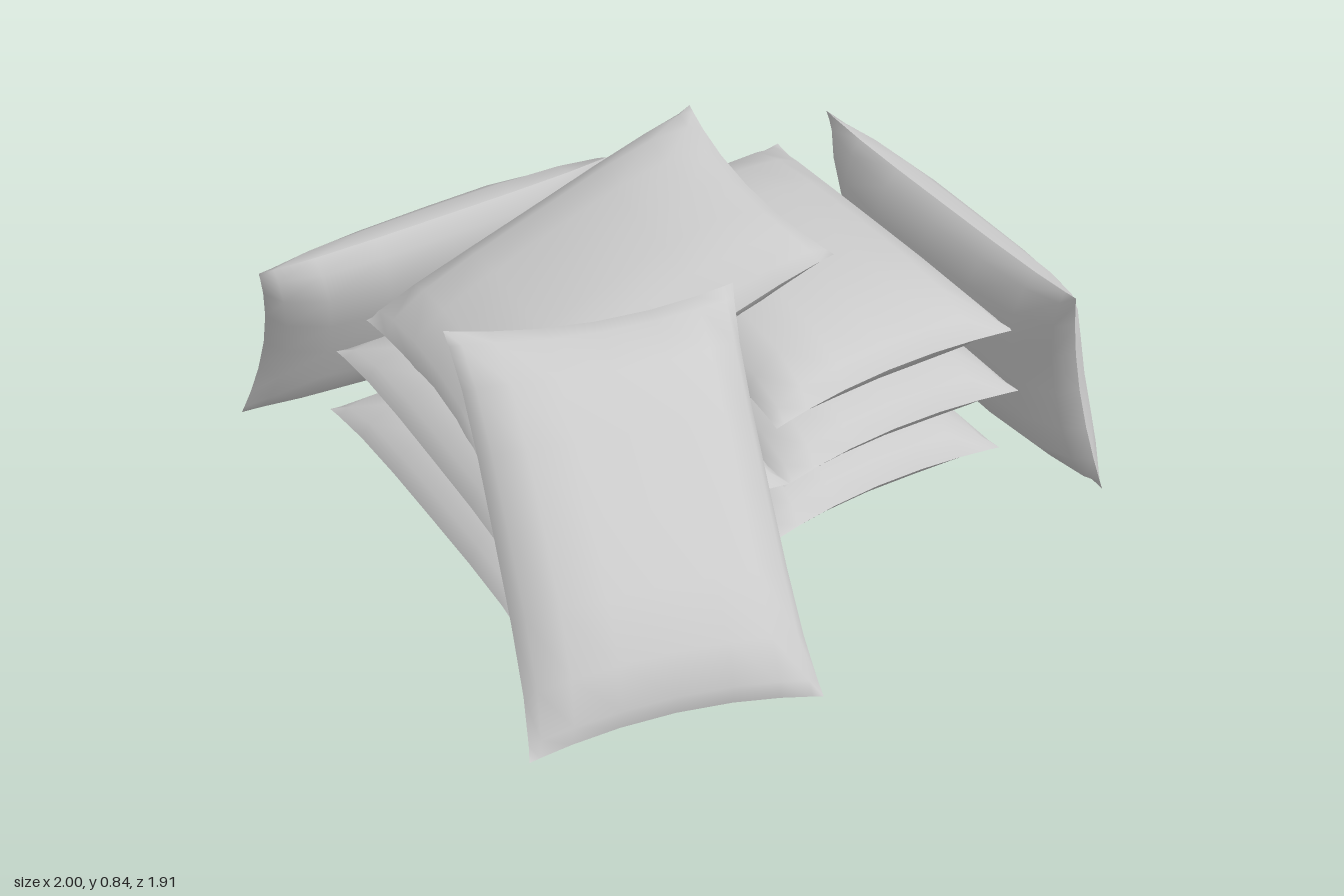
import * as THREE from 'three';

const LENGTH = 1.15, WIDTH = 0.78, THICK = 0.25;

// One stuffed half: sloping up from the seam to a broad, nearly flat top, sides drawn in between pointed corners
function halfPillow(phase, length) {
  const geo = new THREE.PlaneGeometry(2, 2, 8, 8).rotateX(-Math.PI / 2);
  const p = geo.attributes.position;
  const spread = t => Math.sin(t * Math.PI / 2);
  const puff = t => Math.max(0, 1 - t ** 4) ** 0.65;
  for (let i = 0; i < p.count; i++) {
    const u = spread(p.getX(i)), v = spread(p.getZ(i));
    const ripple = 1 + 0.04 * Math.sin(3 * u + 2 * v + phase);
    p.setXYZ(i,
      u * length / 2 * (1 - 0.075 * (1 - v * v)),
      THICK / 2 * puff(u) * puff(v) * ripple,
      v * WIDTH / 2 * (1 - 0.06 * (1 - u ** 4)));
  }
  geo.computeVertexNormals();
  return geo;
}

// Pillow placed by its centre, long direction and face normal
function pillow(name, center, along, normal, phase, length = LENGTH) {
  const group = new THREE.Group();
  group.name = name;
  const material = new THREE.MeshStandardMaterial({ color: 0xcccccc });
  const top = new THREE.Mesh(halfPillow(phase, length), material);
  top.name = 'upperCover';
  const bottom = new THREE.Mesh(halfPillow(phase + 2, length).rotateX(Math.PI), material);
  bottom.name = 'lowerCover';
  group.add(top, bottom);

  const x = new THREE.Vector3(...along).normalize();
  const z = x.clone().cross(new THREE.Vector3(...normal)).normalize();
  const y = z.clone().cross(x);
  group.quaternion.setFromRotationMatrix(new THREE.Matrix4().makeBasis(x, y, z));
  group.position.set(...center);
  return group;
}

export function createModel() {
  const model = new THREE.Group();
  model.name = 'pillowPile';
  const up = [0, 1, 0];

  // Stack of three on the left
  [[0.315, 0.14, -0.05, -0.02, 1.18], [0.35, 0.34, -0.045, -0.02, 1.2], [0.31, 0.55, -0.02, 0, 1.13]]
    .forEach(([x, y, z, yaw, len], i) =>
      model.add(pillow('leftStackPillow' + (i + 1), [x, y, z], [yaw, 0, 1], up, i, len)));

  // Stack of two on the right
  [[-0.43, 0.14, -0.06, 0.01], [-0.41, 0.34, -0.04, -0.02]]
    .forEach(([x, y, z, yaw], i) =>
      model.add(pillow('rightStackPillow' + (i + 1), [x, y, z], [yaw, 0, 1], up, i + 3)));

  // Pillow lying across both stacks
  model.add(pillow('topPillow', [-0.2, 0.605, -0.18], [1, 0.385, 0.08], [-0.385, 1, 0.05], 1, 1.12));

  // Pillows leaning against the left side, the front and the back
  model.add(pillow('leftLeaningPillow', [0.835, 0.38, 0.17], [0, 0, 1], [0.74, 0.2, 0], 2, 1.12));
  model.add(pillow('frontLeaningPillow', [-0.47, 0.395, 0.48], [0.22, 0.76, -0.77], [-0.145, 0.71, 0.69], 4, 1.1));
  model.add(pillow('backLeaningPillow', [-0.43, 0.36, -0.75], [1, 0, 0], [0, 0.33, -0.7], 5, 1.13));

  return model;
}
